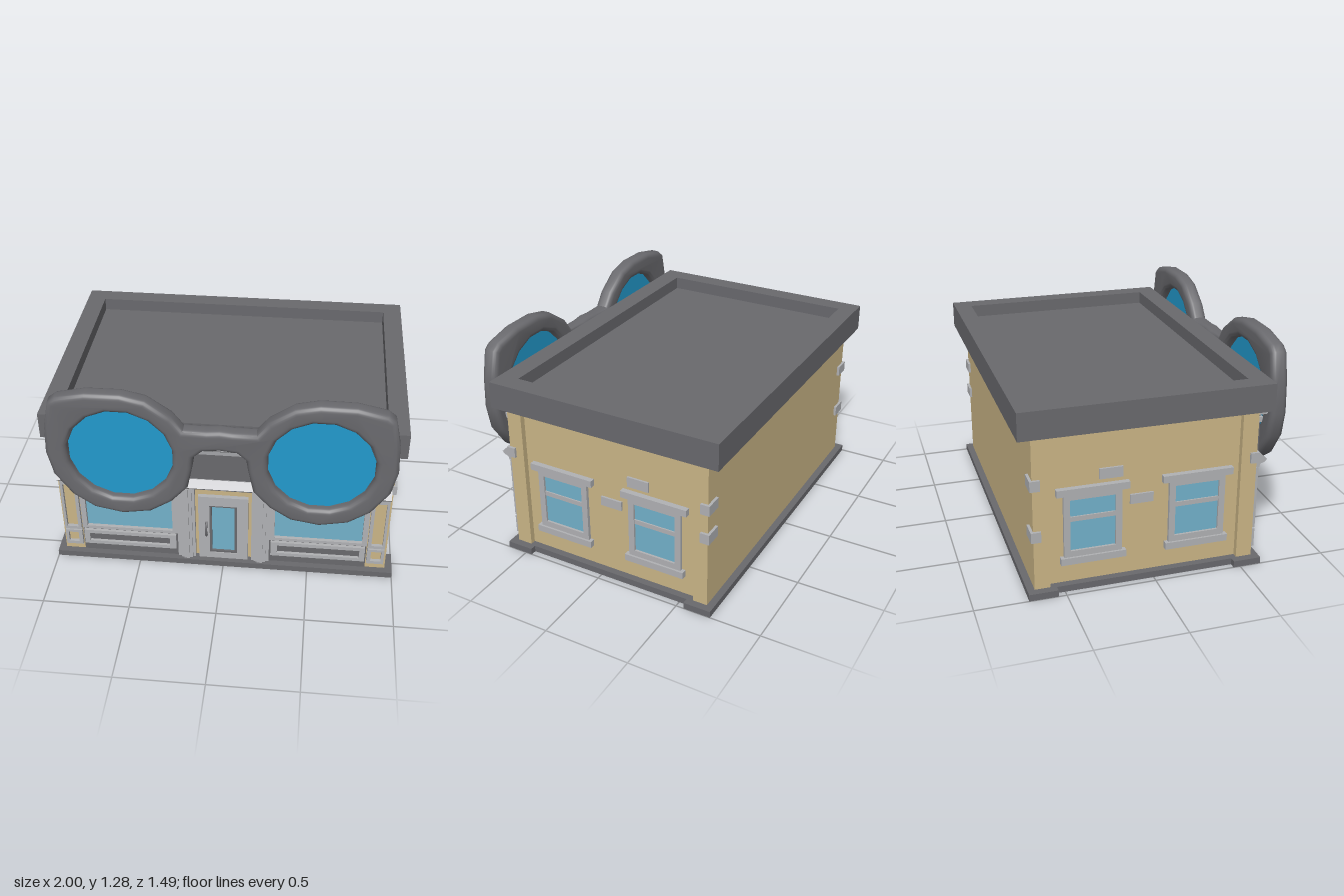
import * as THREE from 'three';
import { toCreasedNormals } from 'three/addons/utils/BufferGeometryUtils.js';

const paint = (name, color, side = THREE.FrontSide) => {
  const m = new THREE.MeshStandardMaterial({ color, side });
  m.name = name;
  return m;
};

export function createModel() {
  const dark = paint('dark grey', 0x69696d);
  const tan = paint('tan plaster', 0xcab586);
  const light = paint('light grey trim', 0xb0b1b4);
  const glass = paint('window glass', 0x72b1ca);
  const lensBlue = paint('lens blue', 0x2299cc, THREE.DoubleSide);

  const model = new THREE.Group();
  model.name = 'opticianShop';

  const add = (name, geo, mat, parent = model) => {
    const mesh = new THREE.Mesh(geo, mat);
    mesh.name = name;
    parent.add(mesh);
    return mesh;
  };
  // Box given by its limits on each axis
  const box = (name, mat, [x0, x1], [y0, y1], [z0, z1], parent = model) => {
    const g = new THREE.BoxGeometry(x1 - x0, y1 - y0, z1 - z0);
    g.translate((x0 + x1) / 2, (y0 + y1) / 2, (z0 + z1) / 2);
    return add(name, g, mat, parent);
  };
  const mirrored = (s, a, b) => (s > 0 ? [a, b] : [-b, -a]);
  const rect = (C, x0, x1, y0, y1) => {
    const p = new C();
    p.moveTo(x0, y0).lineTo(x1, y0).lineTo(x1, y1).lineTo(x0, y1).closePath();
    return p;
  };
  // Rectangular frame with an opening, facing +z
  const frameGeo = (o, i, depth) => {
    const s = rect(THREE.Shape, ...o);
    s.holes.push(rect(THREE.Path, ...i));
    return new THREE.ExtrudeGeometry(s, { depth, bevelEnabled: false });
  };
  const frame = (name, mat, o, i, z0, z1, parent = model) =>
    add(name, frameGeo(o, i, z1 - z0).translate(0, 0, z0), mat, parent);
  // Moulding: profile of [z, y] points swept along x
  const moulding = (name, mat, pts, half) => {
    const s = new THREE.Shape(pts.map(p => new THREE.Vector2(...p)));
    const g = new THREE.ExtrudeGeometry(s, { depth: half * 2, bevelEnabled: false });
    add(name, g.translate(0, 0, -half).rotateY(-Math.PI / 2), mat);
  };

  // Base plinth with wider corners
  box('base', dark, [-0.965, 0.965], [0, 0.038], [-0.705, 0.62]);
  for (const s of [-1, 1]) {
    box('baseCorner', dark, mirrored(s, 0.96, 1), [0, 0.038], [0.46, 0.62]);
    box('baseCorner', dark, mirrored(s, 0.96, 1), [0, 0.038], [-0.705, -0.545]);
  }

  // Walls and corner piers
  box('walls', tan, [-0.925, 0.925], [0.038, 0.92], [-0.665, 0.565]);
  for (const s of [-1, 1]) {
    box('frontPier', tan, mirrored(s, 0.84, 0.957), [0.038, 0.92], [0.49, 0.58]);
    box('rearPier', tan, mirrored(s, 0.9, 0.957), [0.038, 0.92], [-0.665, -0.58]);
  }

  // Roof rim and sunken floor
  const rim = frameGeo([-1, 1, -0.65, 0.74], [-0.89, 0.89, -0.535, 0.635], 0.155);
  add('roofRim', rim.rotateX(-Math.PI / 2).translate(0, 0.92, 0), dark);
  box('roofFloor', dark, [-0.9, 0.9], [0.925, 1.0], [-0.64, 0.54]);

  // Sign board with mouldings above and below
  box('signBoard', dark, [-0.92, 0.92], [0.62, 0.92], [0.55, 0.605]);
  moulding('upperCornice', light, [[0.56, 0.83], [0.61, 0.835], [0.615, 0.865], [0.56, 0.865]], 0.93);
  moulding('topCornice', light, [[0.56, 0.878], [0.635, 0.878], [0.648, 0.892], [0.648, 0.918], [0.56, 0.918]], 0.93);
  moulding('lowerCornice', light,
    [[0.56, 0.572], [0.605, 0.575], [0.61, 0.595], [0.635, 0.602], [0.648, 0.618], [0.61, 0.655], [0.56, 0.655]], 0.945);

  // Shop front, mirrored about the door
  for (const s of [-1, 1]) {
    const half = new THREE.Group();
    half.name = s > 0 ? 'leftShopFront' : 'rightShopFront';
    model.add(half);
    const span = (a, b) => mirrored(s, a, b);
    const f = (name, mat, o, i, z0, z1) =>
      frame(name, mat, [...span(o[0], o[1]), o[2], o[3]], [...span(i[0], i[1]), i[2], i[3]], z0, z1, half);
    // Pier panels
    f('pierPanel', light, [0.845, 0.945, 0.205, 0.572], [0.865, 0.93, 0.225, 0.545], 0.575, 0.6);
    f('pierLowerPanel', light, [0.845, 0.945, 0.085, 0.195], [0.868, 0.928, 0.105, 0.178], 0.575, 0.6);
    // Display window
    f('displayFrame', light, [0.27, 0.84, 0.21, 0.575], [0.3, 0.81, 0.23, 0.535], 0.56, 0.59);
    box('displayGlass', glass, span(0.295, 0.815), [0.225, 0.54], [0.562, 0.57], half);
    // Panel under the window
    box('stallRiser', dark, span(0.27, 0.84), [0.038, 0.21], [0.55, 0.583], half);
    f('riserFrame', light, [0.28, 0.832, 0.097, 0.202], [0.318, 0.8, 0.12, 0.178], 0.58, 0.6);
    // Fluted door column
    box('doorColumn', light, span(0.165, 0.27), [0.038, 0.575], [0.55, 0.59], half);
    box('columnFlute', light, span(0.182, 0.25), [0.038, 0.575], [0.58, 0.6], half);
    box('columnRib', light, span(0.2, 0.232), [0.038, 0.575], [0.59, 0.61], half);
  }

  // Door
  frame('doorFrame', light, [-0.145, 0.145, 0.038, 0.51], [-0.08, 0.08, 0.08, 0.445], 0.56, 0.59);
  frame('doorGlassFrame', dark, [-0.08, 0.08, 0.08, 0.445], [-0.067, 0.067, 0.093, 0.433], 0.56, 0.585);
  box('doorGlass', glass, [-0.07, 0.07], [0.09, 0.436], [0.566, 0.573]);
  const handle = new THREE.CatmullRomCurve3([[0.585, 0.215], [0.612, 0.235], [0.612, 0.3], [0.585, 0.32]]
    .map(([z, y]) => new THREE.Vector3(-0.098, y, z)));
  add('doorHandle', new THREE.TubeGeometry(handle, 12, 0.007, 8), dark);

  // Side windows and loose bricks
  for (const s of [-1, 1]) {
    for (const zc of [0.248, -0.337]) {
      const win = new THREE.Group();
      win.name = 'sideWindow';
      win.position.set(s * 0.925, 0, zc);
      win.rotation.y = s * Math.PI / 2;
      model.add(win);
      frame('windowFrame', light, [-0.16, 0.16, 0.19, 0.565], [-0.125, 0.125, 0.23, 0.53], -0.01, 0.02, win);
      box('windowGlass', glass, [-0.13, 0.13], [0.225, 0.535], [0, 0.007], win);
      box('windowBar', light, [-0.125, 0.125], [0.403, 0.43], [0, 0.015], win);
      box('lintel', light, [-0.2, 0.2], [0.56, 0.6], [-0.01, 0.032], win);
      box('sill', light, [-0.18, 0.18], [0.155, 0.195], [-0.01, 0.032], win);
    }
    box('wallBrick', light, mirrored(s, 0.92, 0.937), [0.625, 0.685], [-0.3, -0.17]);
    box('wallBrick', light, mirrored(s, 0.92, 0.937), [0.455, 0.51], [-0.13, 0]);
    // Corner bricks
    box('frontCornerBrick', light, mirrored(s, 0.925, 0.972), [0.615, 0.675], [0.54, 0.592]);
    for (const y of [0.65, s > 0 ? 0.473 : 0.355])
      box('rearCornerBrick', light, mirrored(s, 0.87, 0.972), [y - 0.03, y + 0.03], [-0.68, -0.625]);
  }

  // Giant spectacles: half outline from the bridge top round to the bridge underside
  const outline = [
    [0.07, 1.08], [0.195, 1.08], [0.255, 1.16], [0.39, 1.255], [0.52, 1.285], [0.71, 1.283], [0.87, 1.248],
    [0.912, 1.215], [0.945, 1.06], [0.955, 0.88], [0.925, 0.735], [0.83, 0.595], [0.71, 0.51], [0.55, 0.477],
    [0.39, 0.505], [0.27, 0.585], [0.18, 0.69], [0.152, 0.83], [0.14, 0.905], [0.09, 0.95]];
  const left = [[0, 1.087], ...outline, [0, 0.96]];
  const right = outline.map(([x, y]) => [-x, y]).reverse();
  const rimShape = new THREE.Shape([...left, ...right].map(p => new THREE.Vector2(...p)));
  for (const s of [-1, 1]) {
    const hole = [];
    for (let i = 0; i < 16; i++) {
      const a = (i + 0.5) / 16 * Math.PI * 2;
      hole.push(new THREE.Vector2(s * 0.545 + 0.292 * Math.cos(a), 0.885 + 0.295 * Math.sin(a)));
    }
    rimShape.holes.push(new THREE.Path(hole));
    const lens = add('lens', new THREE.CircleGeometry(0.305, 32), lensBlue);
    lens.position.set(s * 0.545, 0.885, 0.697);
  }
  const specs = new THREE.ExtrudeGeometry(rimShape, {
    depth: 0.035, bevelThickness: 0.03, bevelSize: 0.03, bevelOffset: -0.03, bevelSegments: 5 });
  add('spectacleFrame', toCreasedNormals(specs.translate(0, 0, 0.68), 0.8), dark);

  return model;
}
